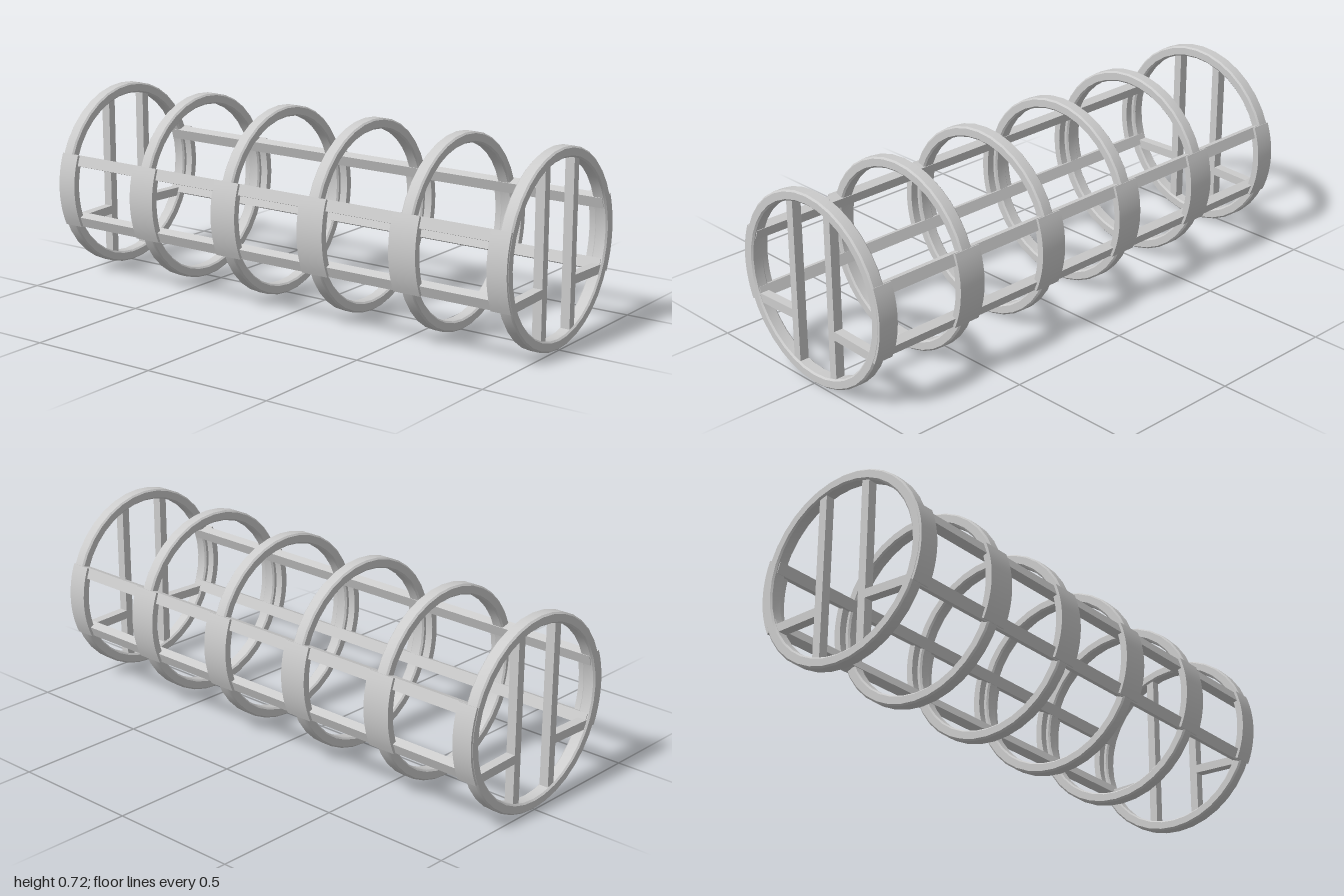
import * as THREE from 'three';
import { toCreasedNormals } from 'three/addons/utils/BufferGeometryUtils.js';

const CY = 0.358;      // height of the tunnel axis
const R = 0.358;       // outer ring radius
const RI = 0.319;      // inner ring radius
const W = 0.05;        // ring width along z
const RINGS = 6;
const material = new THREE.MeshStandardMaterial({ color: 0xcccccc });

function add(parent, name, geometry, x = 0, y = 0, z = 0) {
  const mesh = new THREE.Mesh(geometry, material);
  mesh.name = name;
  mesh.position.set(x, y, z);
  parent.add(mesh);
  return mesh;
}

// Round hoop with a small chamfer on all four edges
function hoopGeometry() {
  const h = W / 2, c = 0.006;
  const profile = [
    [R, -h + c], [R, h - c], [R - c, h], [RI + c, h],
    [RI, h - c], [RI, -h + c], [RI + c, -h], [R - c, -h], [R, -h + c],
  ].map(([r, y]) => new THREE.Vector2(r, y));
  return toCreasedNormals(new THREE.LatheGeometry(profile, 36).rotateX(Math.PI / 2), 0.5);
}

// Curved strap on the +x side, between the two side rails
function strapGeometry(depth) {
  const a0 = -0.43, a1 = 0.38;
  const shape = new THREE.Shape();
  shape.absarc(0, 0, 0.361, a0, a1, false);
  shape.absarc(0, 0, 0.335, a1, a0, true);
  const geometry = new THREE.ExtrudeGeometry(shape, { depth, bevelEnabled: false, curveSegments: 6 });
  return toCreasedNormals(geometry.translate(0, 0, -depth / 2), 0.5);
}

export function createModel() {
  const model = new THREE.Group();
  model.name = 'ringTunnel';

  // Hoops with a wider strap on each side
  const hoop = hoopGeometry();
  const middleStrap = strapGeometry(0.11), endStrap = strapGeometry(0.078);
  for (let i = 0; i < RINGS; i++) {
    const z = 0.975 - i * 0.39;
    add(model, 'hoop', hoop, 0, CY, z);
    const isEnd = i === 0 || i === RINGS - 1;
    for (const side of [1, -1]) {
      const strap = add(model, 'sideStrap', isEnd ? endStrap : middleStrap,
        0, CY, isEnd ? Math.sign(z) * 0.96 : z);
      if (side < 0) strap.rotation.y = Math.PI;
    }
  }

  // Long rails, two on each side, turned to face the axis
  const rail = new THREE.BoxGeometry(0.035, 0.042, 1.98);
  for (const side of [1, -1]) {
    for (const angle of [0.325, -0.385]) {
      const r = 0.333;
      const mesh = add(model, 'sideRail', rail,
        side * r * Math.cos(angle), CY + r * Math.sin(angle), 0);
      mesh.rotation.z = side * angle;
    }
  }

  // End frames: two uprights and two short crossbars
  const upright = new THREE.BoxGeometry(0.032, 0.635, 0.036);
  const crossbar = new THREE.BoxGeometry(0.2, 0.033, 0.036);
  for (const end of [1, -1]) {
    const frame = new THREE.Group();
    frame.name = end > 0 ? 'frontFrame' : 'backFrame';
    frame.position.z = end * 0.975;
    for (const side of [1, -1]) {
      add(frame, 'upright', upright, side * 0.098, CY, 0);
      add(frame, 'crossbar', crossbar, side * 0.204, 0.224, 0).rotation.z = -side * 0.03;
    }
    model.add(frame);
  }
  return model;
}
